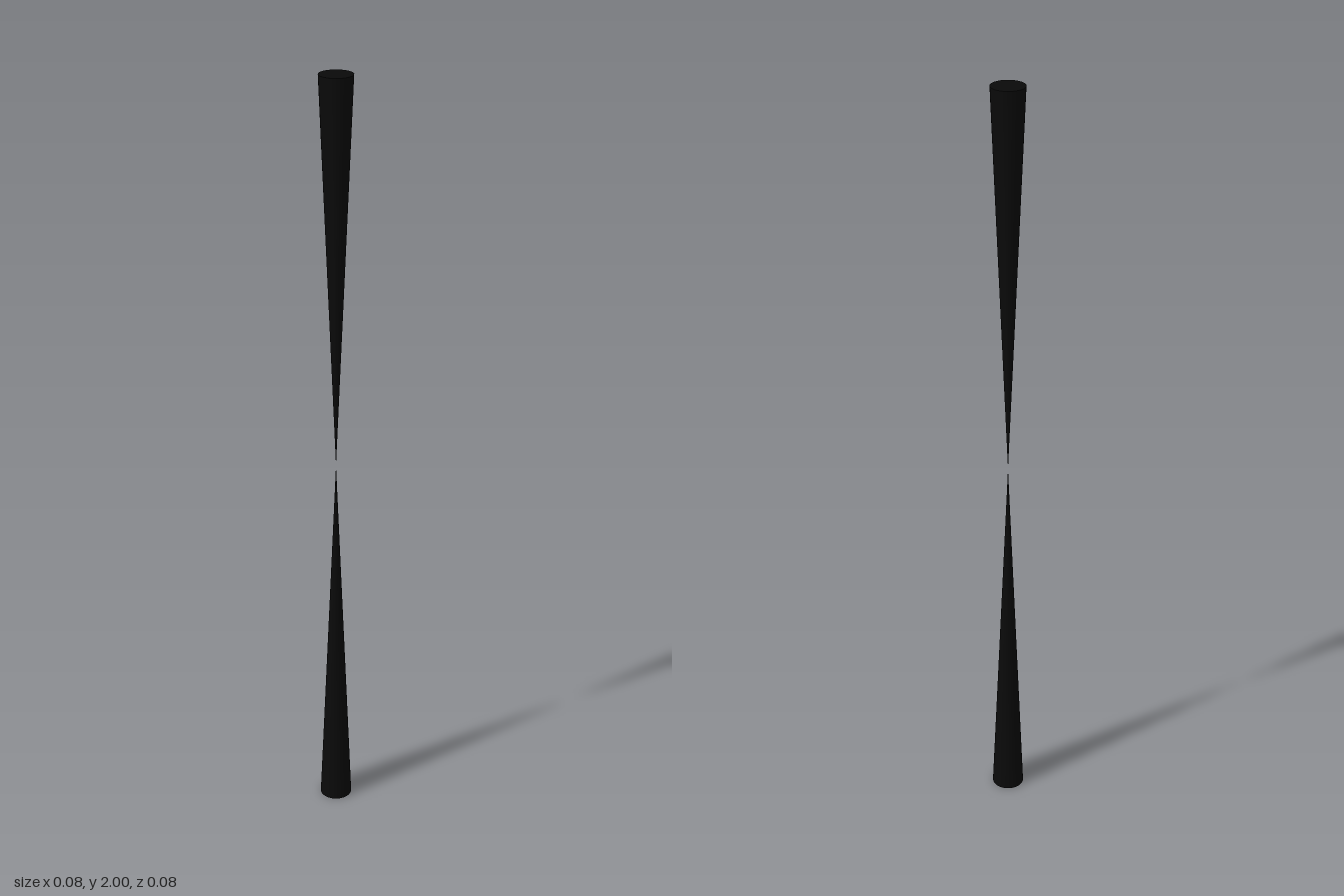
import * as THREE from 'three';

const RADIUS = 0.042;
const HEIGHT = 1;

export function createModel() {
  const model = new THREE.Group();
  model.name = 'doubleCone';
  const material = new THREE.MeshStandardMaterial({ color: 0x0a0a0a });
  const geometry = new THREE.ConeGeometry(RADIUS, HEIGHT, 32);

  // Two slender capped cones whose tips meet at mid height
  for (const [name, y, turn] of [['lowerCone', 0.5, 0], ['upperCone', 1.5, Math.PI]]) {
    const cone = new THREE.Mesh(geometry, material);
    cone.name = name;
    cone.position.y = y;
    cone.rotation.x = turn;
    model.add(cone);
  }
  return model;
}
